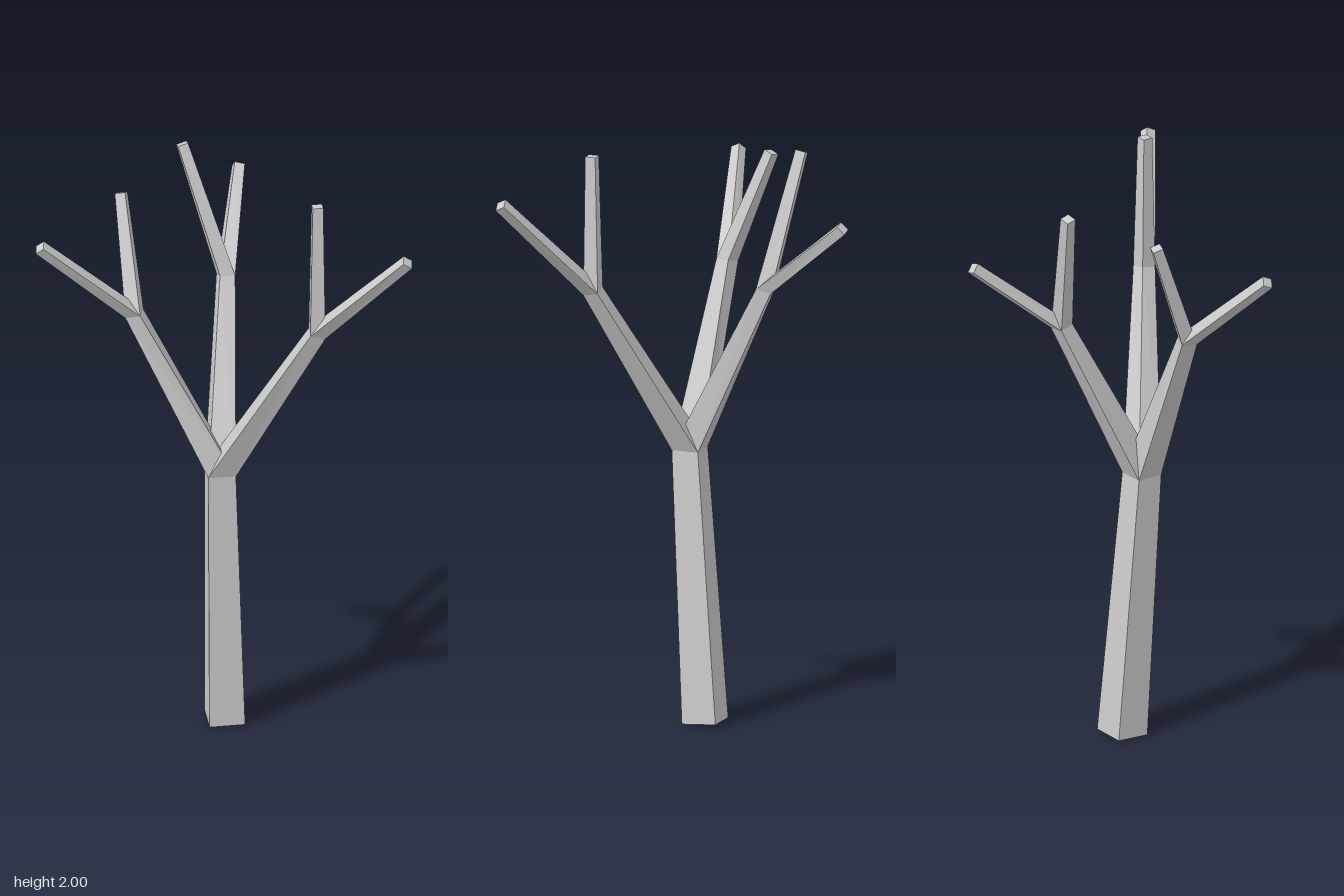
import * as THREE from 'three';

const V = (x, y, z) => new THREE.Vector3(x, y, z);
const UP = V(0, 1, 0);

// Square ring around a point, facing along dir, with corners on the x and z axes
function ring(center, radius, dir, roll = 0) {
  const q = new THREE.Quaternion().setFromUnitVectors(UP, dir.clone().normalize());
  return [0, 1, 2, 3].map((k) => {
    const a = (k * Math.PI) / 2 + roll;
    return V(Math.cos(a) * radius, 0, Math.sin(a) * radius).applyQuaternion(q).add(center);
  });
}

// Four-sided segment between two rings, optionally closed at its ends
function segment(name, a, b, material, capStart, capEnd) {
  const pts = [];
  for (let k = 0; k < 4; k++) {
    const n = (k + 1) % 4;
    pts.push(a[k], b[k], b[n], a[k], b[n], a[n]);
  }
  if (capStart) pts.push(a[0], a[1], a[2], a[0], a[2], a[3]);
  if (capEnd) pts.push(b[0], b[2], b[1], b[0], b[3], b[2]);
  const geometry = new THREE.BufferGeometry().setFromPoints(pts);
  geometry.computeVertexNormals();
  const mesh = new THREE.Mesh(geometry, material);
  mesh.name = name;
  return mesh;
}

export function createModel() {
  const model = new THREE.Group();
  model.name = 'bareTree';
  const bark = new THREE.MeshStandardMaterial({ color: 0xcccccc });
  bark.name = 'bark grey';

  // Trunk
  const base = V(-0.195, 0.009, -0.042);
  const fork = V(-0.167, 0.94, 0.02);
  const forkRing = ring(fork, 0.066, UP);
  const baseRing = ring(base, 0.085, fork.clone().sub(base));
  model.add(segment('trunk', baseRing, forkRing, bark, true, false));

  // Each limb grows from the trunk fork and splits into two twigs
  const limbs = [
    { name: 'left', node: V(0.207, 1.533, -0.024), roll: 0,
      tips: [V(0.21, 2.0, -0.022), V(0.562, 1.877, -0.06)] },
    { name: 'back', node: V(-0.333, 1.53, -0.227), roll: -0.1,
      tips: [V(-0.485, 1.983, -0.185), V(-0.493, 1.79, -0.505)] },
    { name: 'front', node: V(-0.387, 1.525, 0.205), roll: 0.35,
      tips: [V(-0.51, 1.905, 0.118), V(-0.56, 1.825, 0.5)] },
  ];
  for (const { name, node, roll, tips } of limbs) {
    const lean = node.clone().sub(fork).normalize().add(UP);
    const nodeRing = ring(node, 0.037, lean, roll);
    model.add(segment(name + 'Limb', forkRing, nodeRing, bark, false, false));
    tips.forEach((tip, i) => {
      const tipRing = ring(tip, 0.025, tip.clone().sub(node), roll);
      model.add(segment(name + 'Twig' + (i + 1), nodeRing, tipRing, bark, false, true));
    });
  }
  return model;
}
